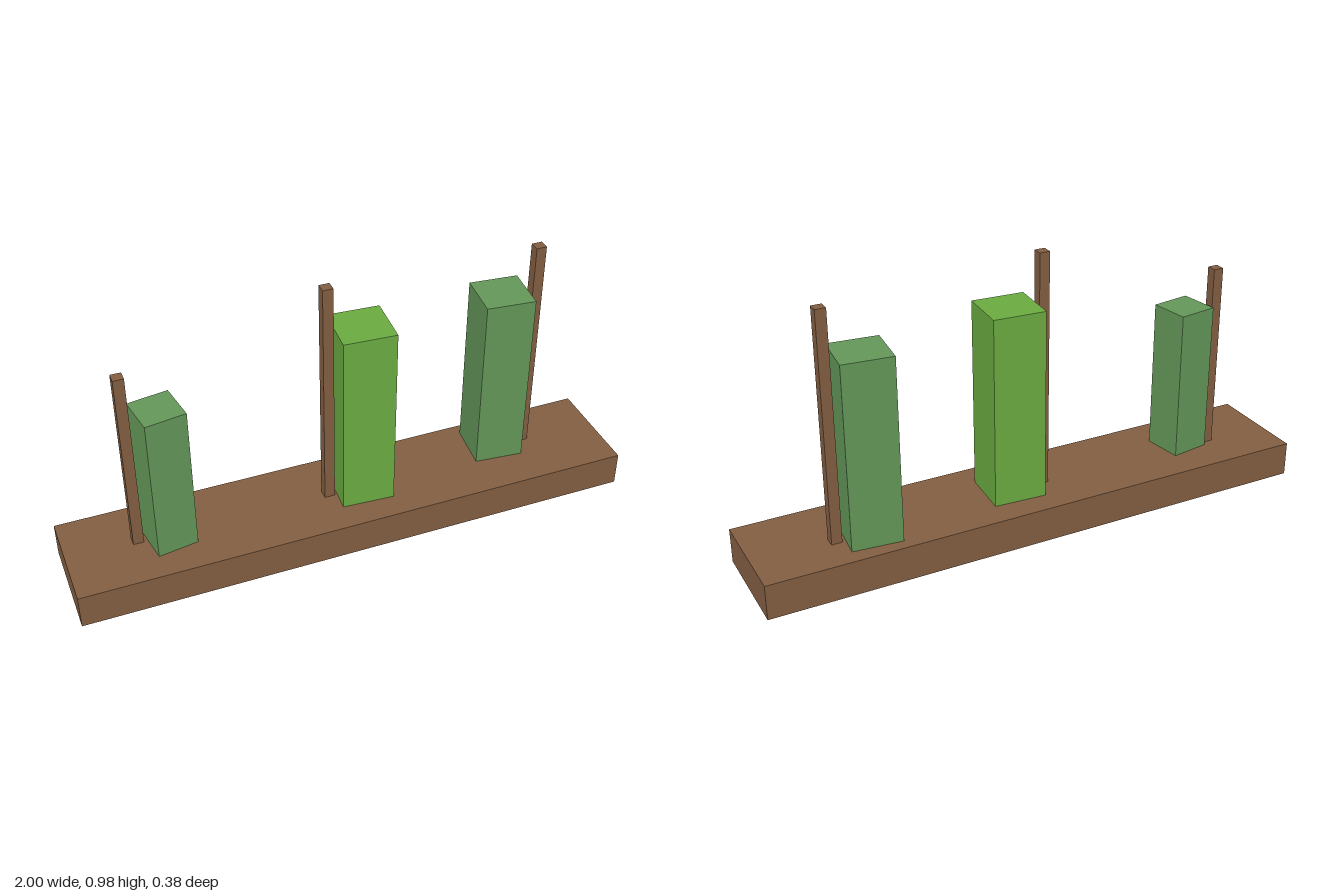
import * as THREE from 'three';

const brown = new THREE.MeshStandardMaterial({ color: 0x825e42, side: THREE.DoubleSide });
brown.name = 'wood brown';
const leafGreen = new THREE.MeshStandardMaterial({ color: 0x6aaa40 });
leafGreen.name = 'bright leaf green';
const darkGreen = new THREE.MeshStandardMaterial({ color: 0x639658 });
darkGreen.name = 'muted leaf green';

const BASE_HEIGHT = 0.125;

export function createModel() {
  const model = new THREE.Group();
  model.name = 'planter';

  // Planter: thin shell, open underneath (the box's bottom face is left out)
  const shell = new THREE.BoxGeometry(2, BASE_HEIGHT, 0.375);
  const bottom = shell.groups[3];
  shell.setIndex(Array.from(shell.index.array).filter(
    (_, i) => i < bottom.start || i >= bottom.start + bottom.count));
  shell.clearGroups();
  const base = new THREE.Mesh(shell, brown);
  base.name = 'planterBase';
  base.position.y = BASE_HEIGHT / 2;
  model.add(base);

  // Square upright standing on the planter
  const addPost = (name, material, side, top, x, z, degrees = 0) => {
    const height = top - BASE_HEIGHT;
    const post = new THREE.Mesh(new THREE.BoxGeometry(side, height, side), material);
    post.name = name;
    post.position.set(x, BASE_HEIGHT + height / 2, z);
    post.rotation.y = THREE.MathUtils.degToRad(degrees);
    model.add(post);
  };

  // Slightly turned foliage blocks
  addPost('rightFoliage', darkGreen, 0.144, 0.67, -0.643, 0.009, 9);
  addPost('middleFoliage', leafGreen, 0.186, 0.808, 0.059, -0.003, -3.5);
  addPost('leftFoliage', darkGreen, 0.175, 0.782, 0.596, -0.051, -5.5);

  // Support stakes
  addPost('rightStake', brown, 0.037, 0.805, -0.75, -0.015);
  addPost('middleStake', brown, 0.037, 0.979, -0.063, -0.005);
  addPost('leftStake', brown, 0.037, 0.944, 0.716, -0.042);

  return model;
}
